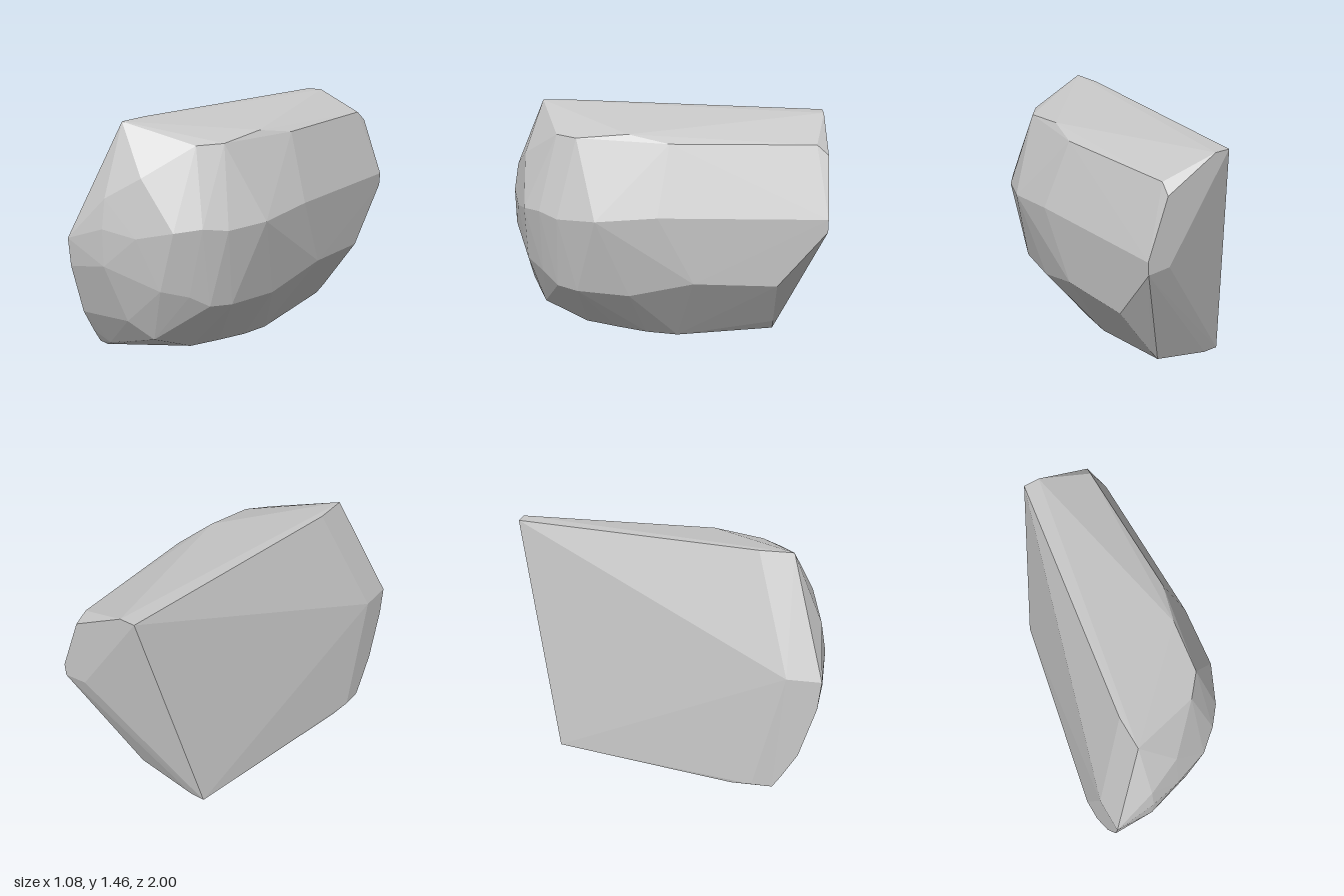
import * as THREE from 'three';
import { ConvexGeometry } from 'three/addons/geometries/ConvexGeometry.js';

// Rings of corners, from the base up to the crest
const base = [
  [-0.27, 0, -0.71], [-0.17, 0, -0.71], [0.215, 0.08, -0.71], [0.17, 0.005, -0.1], [0.14, 0.01, 0.1],
  [0.08, 0.02, 0.3], [0, 0.025, 0.5], [-0.45, 0.03, 0.74], [-0.5, 0, 0.71],
  [-0.51, 0, 0.47], [-0.54, 0.02, 0.6], [-0.54, 0.02, 0.73],
];
const lowerFlank = [
  [0.27, 0.15, -0.71], [-0.07, 0.14, 0.78], [-0.2, 0.26, 0.87], [-0.54, 0.26, 0.88], [-0.54, 0.11, 0.79],
  [0.505, 0.48, -0.71], [0.505, 0.49, -0.2], [0.41, 0.37, 0.2], [0.33, 0.37, 0.53],
  [0.26, 0.38, 0.66], [0.18, 0.45, 0.76], [0.05, 0.49, 0.87],
];
const waist = [
  [0.53, 0.84, -1], [0.535, 0.92, -1], [0.53, 0.92, 0.02], [0.49, 0.88, 0.4], [0.38, 0.86, 0.64],
  [0.28, 0.88, 0.76], [0.15, 0.86, 0.87], [-0.07, 0.81, 0.94], [-0.28, 0.62, 0.985],
  [-0.28, 0.85, 0.99], [-0.54, 0.58, 0.98], [-0.54, 0.76, 1], [-0.54, 0.76, 0.79], [0.38, 0.85, -1],
];
const crest = [
  [-0.28, 1.03, 0.96], [-0.07, 1.16, 0.88], [0.16, 1.34, 0.65], [0.27, 1.345, 0.52],
  [0.31, 1.38, 0.2], [0.385, 1.34, -0.05], [0.385, 1.34, -0.93], [0.4, 1.28, -1],
  [0.06, 1.46, -1], [-0.04, 1.46, -1], [-0.28, 1.46, 0.57], [-0.28, 1.46, 0.78],
];

export function createModel() {
  const group = new THREE.Group();
  group.name = 'rock';

  const stone = new THREE.MeshStandardMaterial({ color: 0xc8c8c8 });
  stone.name = 'grey stone';

  // One faceted boulder, with a flat split face on its -x side
  const corners = [...base, ...lowerFlank, ...waist, ...crest].map((p) => new THREE.Vector3(...p));
  const boulder = new THREE.Mesh(new ConvexGeometry(corners), stone);
  boulder.name = 'boulder';
  group.add(boulder);
  return group;
}
